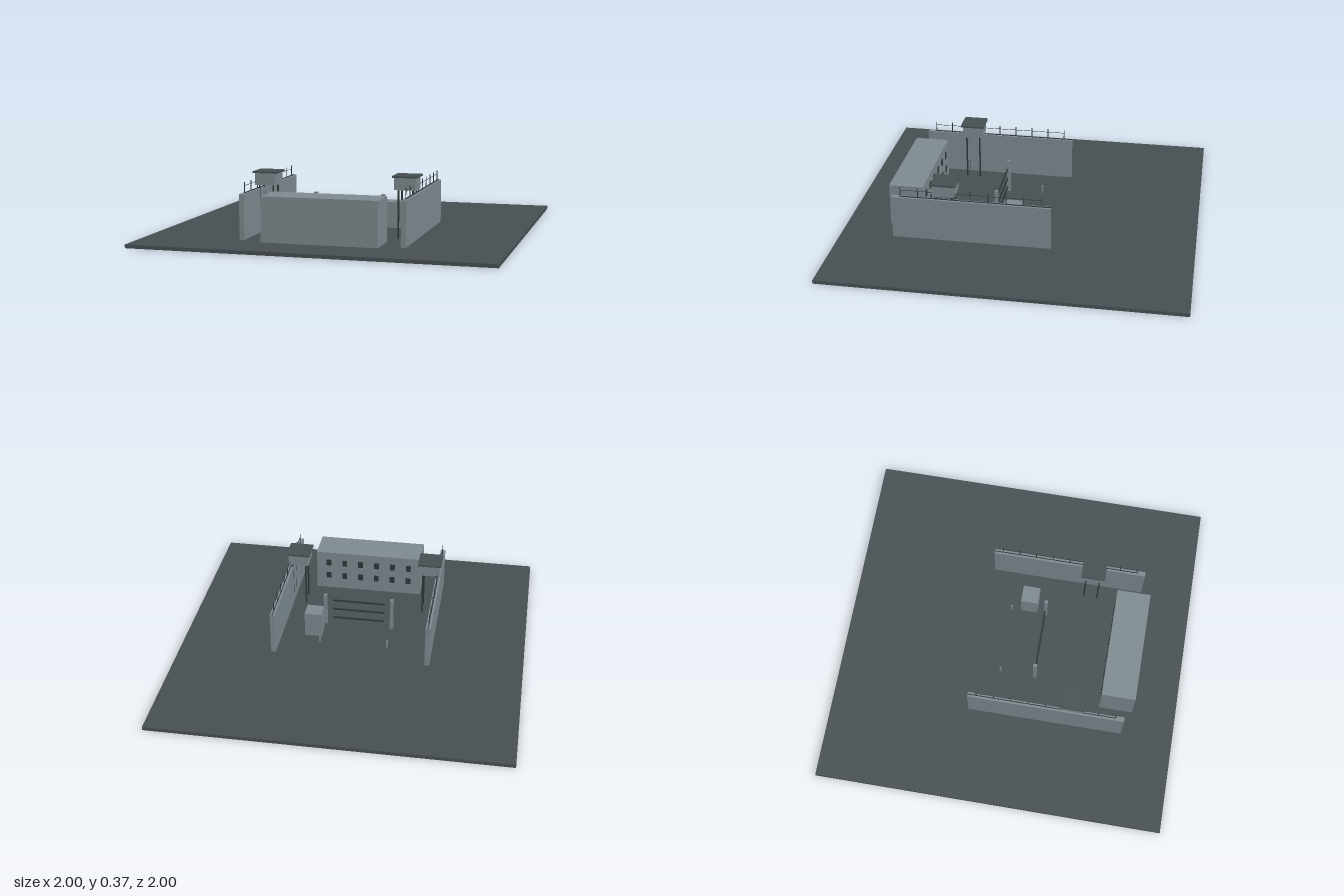
import * as THREE from 'three';

export function createModel() {
  const root = new THREE.Group();
  const mat = (name, hex) => {
    const m = new THREE.MeshStandardMaterial({ color: hex });
    m.name = name;
    return m;
  };
  const concrete = mat('concrete grey', 0x7f8c91);
  const asphalt = mat('asphalt grey', 0x485054);
  const metal = mat('dark metal', 0x2f363a);

  // Box placed by its base height
  const box = (parent, name, m, w, h, d, x, y, z) => {
    const mesh = new THREE.Mesh(new THREE.BoxGeometry(w, h, d), m);
    mesh.name = name;
    mesh.position.set(x, y + h / 2, z);
    parent.add(mesh);
    return mesh;
  };
  const group = (name, x = 0, z = 0) => {
    const g = new THREE.Group();
    g.name = name;
    g.position.set(x, 0, z);
    root.add(g);
    return g;
  };
  const floor = 0.02;

  box(root, 'ground', asphalt, 2, floor, 2, 0, 0, 0);

  // Main block with windows facing the yard
  const block = group('cellBlock', 0, 0.65);
  box(block, 'blockBody', concrete, 0.65, 0.25, 0.195, 0, floor, 0);
  for (const y of [0.09, 0.18])
    for (let i = 0; i < 6; i++)
      box(block, 'window', metal, 0.03, 0.04, 0.006, -0.25 + i * 0.1, y, -0.098);

  for (const s of [-1, 1]) {
    // Perimeter wall with fence pins and wire
    const wall = group(s > 0 ? 'leftWall' : 'rightWall', s * 0.45, 0.25);
    box(wall, 'wallPanel', concrete, 0.028, 0.25, 0.9, 0, floor, 0);
    for (let i = 0; i < 9; i++)
      box(wall, 'wirePost', metal, 0.004, 0.06, 0.004, 0, 0.27, -0.4 + i * 0.1);
    box(wall, 'lowerWire', metal, 0.004, 0.004, 0.85, 0, 0.27, -0.025);
    box(wall, 'upperWire', metal, 0.002, 0.002, 0.8, 0, 0.31, 0);

    // Watchtower
    const tower = group(s > 0 ? 'leftTower' : 'rightTower', s * 0.4, 0.4);
    for (const x of [-0.04, 0.04])
      for (const z of [-0.04, 0.04])
        box(tower, 'towerLeg', metal, 0.008, 0.27, 0.008, x, floor, z);
    box(tower, 'towerCabin', concrete, 0.12, 0.07, 0.12, 0, 0.29, 0);
    box(tower, 'towerRoof', asphalt, 0.14, 0.01, 0.14, 0, 0.358, 0);

    // Gate post and low bollard
    box(root, 'gatePost', concrete, 0.02, 0.2, 0.02, s * 0.2, floor, 0.15);
    box(root, 'bollard', concrete, 0.009, 0.05, 0.009, s * 0.2, floor, -0.055);
  }

  // Gate rails
  const gate = group('gate', 0, 0.15);
  for (const y of [0.06, 0.12, 0.18])
    box(gate, 'gateRail', metal, 0.31, 0.008, 0.008, 0, y, 0);

  // Guard booth
  box(root, 'guardBooth', concrete, 0.1, 0.15, 0.1, 0.25, floor, 0.05);

  return root;
}
